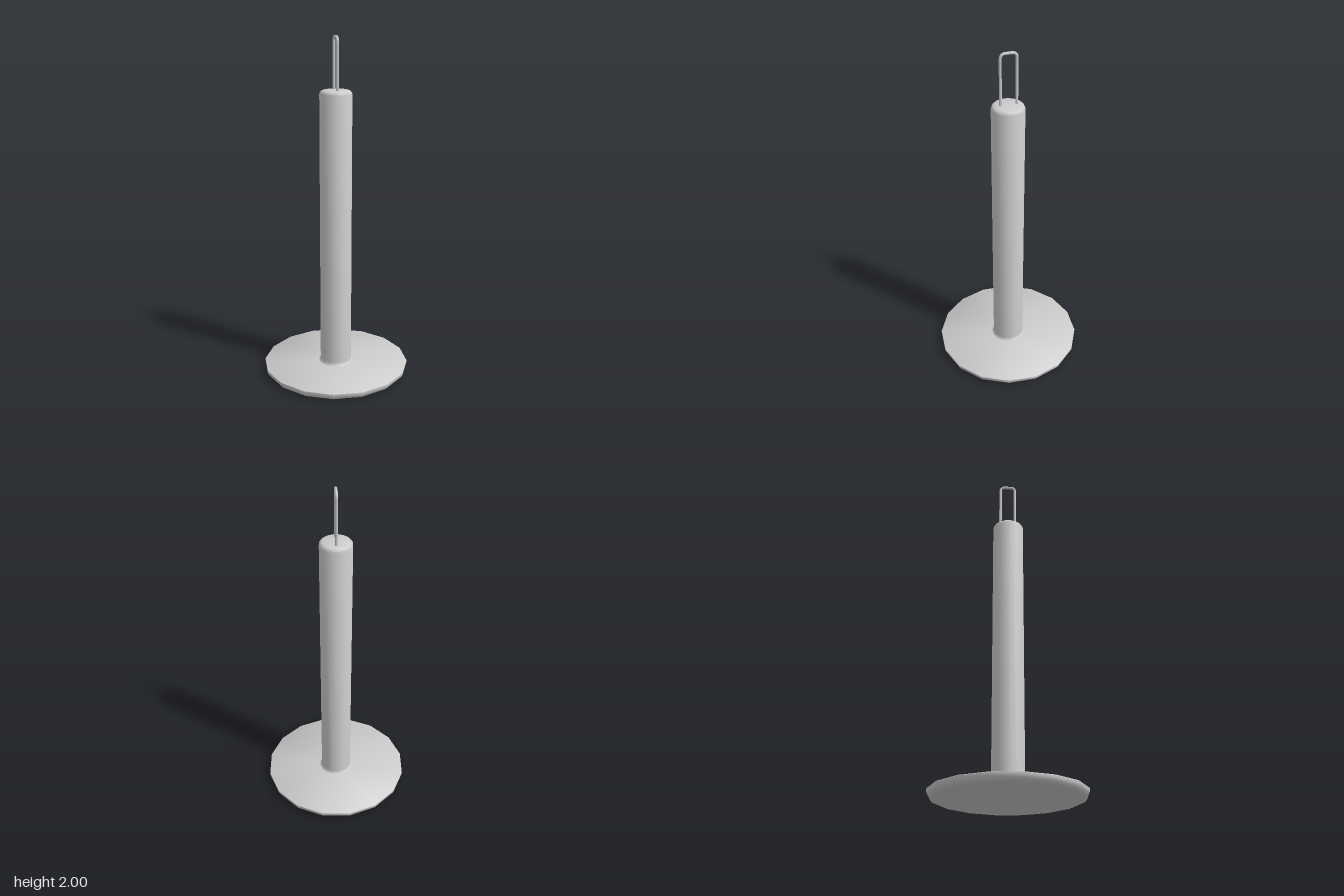
import * as THREE from 'three';
import { toCreasedNormals } from 'three/addons/utils/BufferGeometryUtils.js';

const SIDES = 16;
const PHASE = THREE.MathUtils.degToRad(7.5);

export function createModel() {
  const group = new THREE.Group();
  const material = new THREE.MeshStandardMaterial({ color: 0xcccccc });

  const add = (name, geometry) => {
    const mesh = new THREE.Mesh(geometry, material);
    mesh.name = name;
    group.add(mesh);
  };
  // Profile points are [radius, height], listed from bottom to top
  const turned = (profile) => toCreasedNormals(
    new THREE.LatheGeometry(profile.map(([r, y]) => new THREE.Vector2(r, y)), SIDES, PHASE),
    THREE.MathUtils.degToRad(40));

  // Thin disc with a rounded lower rim
  add('base', turned([
    [0, 0], [0.405, 0], [0.42, 0.006], [0.43, 0.017],
    [0.436, 0.03], [0.436, 0.043], [0.432, 0.046], [0, 0.046],
  ]));

  // Post with a small flare at the foot and a softened top edge
  add('post', turned([
    [0.105, 0.044], [0.098, 0.049], [0.094, 0.058], [0.093, 0.07],
    [0.093, 1.678], [0.09, 1.688], [0.083, 1.696], [0.072, 1.7], [0, 1.703],
  ]));

  // Bent wire loop on top, lying in the z plane
  const v = (y, z) => new THREE.Vector3(0, y, z);
  const half = 0.045, top = 1.992, bend = 0.028, zc = -0.003;
  const path = new THREE.CurvePath();
  path.add(new THREE.LineCurve3(v(1.68, zc - half), v(top - bend, zc - half)));
  path.add(new THREE.QuadraticBezierCurve3(
    v(top - bend, zc - half), v(top, zc - half), v(top, zc - half + bend)));
  path.add(new THREE.LineCurve3(v(top, zc - half + bend), v(top, zc + half - bend)));
  path.add(new THREE.QuadraticBezierCurve3(
    v(top, zc + half - bend), v(top, zc + half), v(top - bend, zc + half)));
  path.add(new THREE.LineCurve3(v(top - bend, zc + half), v(1.68, zc + half)));
  add('wireLoop', new THREE.TubeGeometry(path, 120, 0.008, 10));

  return group;
}
